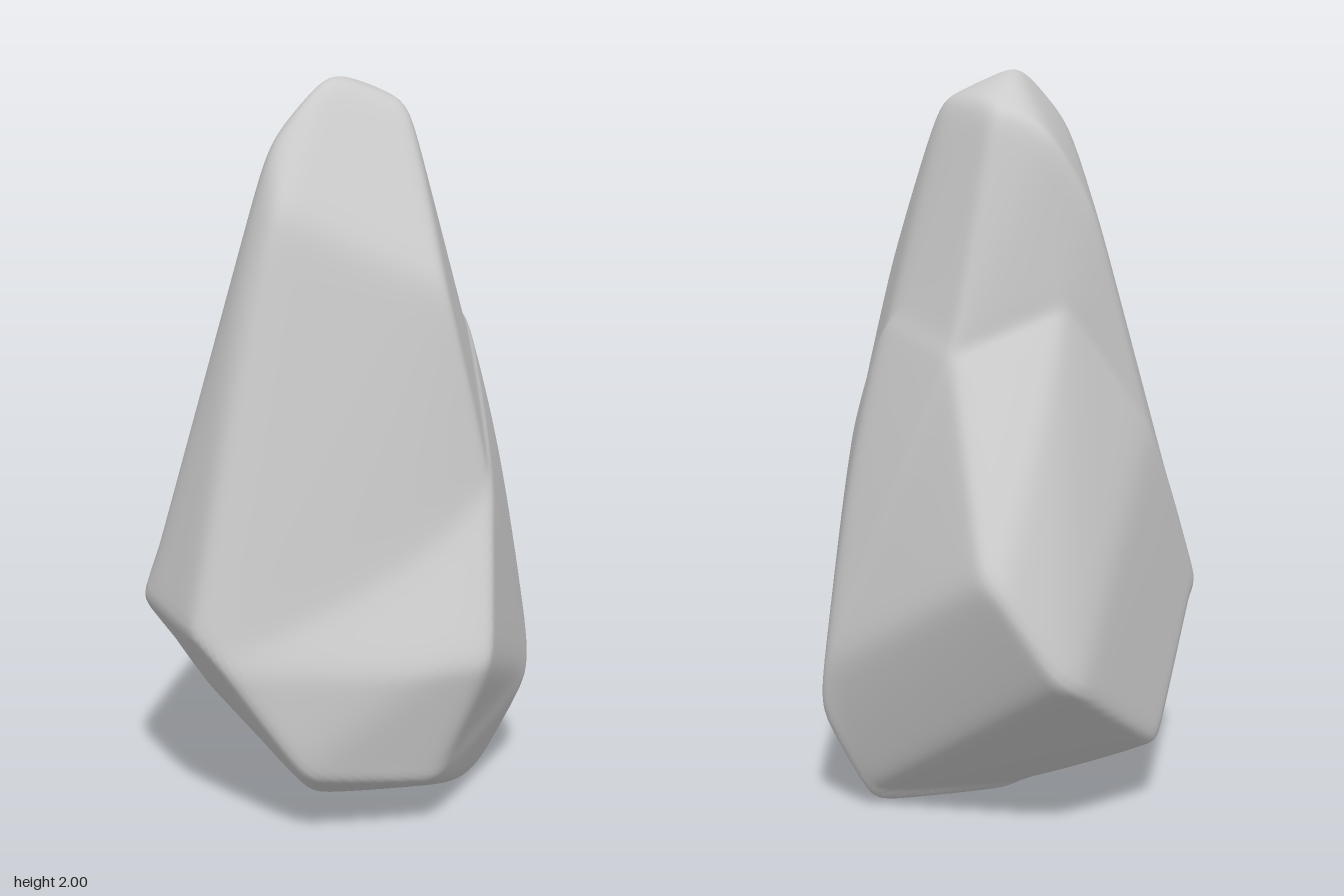
import * as THREE from 'three';
import { ConvexGeometry } from 'three/addons/geometries/ConvexGeometry.js';
import { mergeVertices } from 'three/addons/utils/BufferGeometryUtils.js';

const v = (x, y, z) => new THREE.Vector3(x, y, z);
const CENTRE = v(0, 0.9, 0);
const ROUNDING = 50; // higher keeps the ridges sharper
const VALLEY = 0.02; // softness of the creases between the two blocks

// Corners of the foot and flanks, shared by both blocks
const FOOT = [
  v(-0.11, 0.01, 0.07), v(0.04, 0.005, -0.03), v(0.35, -0.01, 0.16), v(0.41, 0.02, 0.14),
  v(0.05, 0.155, 0.45), v(-0.32, 0.205, 0.33), v(0.54, 0.43, 0.16), v(0.525, 0.29, 0.2),
  v(-0.545, 0.6, 0.16), v(-0.49, 0.52, 0.23), v(-0.51, 0.6, -0.17), v(-0.46, 0.55, -0.26),
];
// Corners of the waist, shared by both blocks, with the rear notch last
const WAIST = [
  v(0.23, 0.95, 0.42), v(0.395, 1.08, 0.17), v(0.335, 1.35, 0.13), v(-0.2, 1.04, -0.325),
  v(0.35, 1.3, -0.15), v(0.08, 1.42, -0.29),
];
// Front and rear bulges of the broad base
const BULGES = [
  v(0.13, 0.5, 0.57), v(0, 0.5, 0.525), v(-0.18, 0.17, -0.4), v(0.27, 0.46, -0.57), v(0.34, 0.5, -0.565),
  v(0.5, 0.78, -0.43), v(0.48, 0.74, -0.47),
];
// Corners of the peak
const PEAK = [
  v(0.12, 1.48, 0.365), v(-0.28, 1.69, 0.15), v(-0.34, 1.53, 0.08), v(-0.02, 1.64, -0.31), v(0.1, 1.87, -0.265),
  v(0.215, 1.93, -0.15), v(0.17, 1.94, 0.1), v(-0.06, 2.02, 0.03), v(0.03, 2.02, -0.04), v(-0.22, 1.85, 0.01),
];

// Facet planes of a convex block, scaled so that plane.dot(point) = 1 on the facet
function facets(points) {
  const p = new ConvexGeometry(points.map((q) => q.clone().sub(CENTRE))).attributes.position;
  const planes = [];
  for (let i = 0; i < p.count; i += 3) {
    const [a, b, c] = [0, 1, 2].map((k) => new THREE.Vector3().fromBufferAttribute(p, i + k));
    const n = b.sub(a).cross(c.sub(a)).normalize();
    planes.push(n.divideScalar(n.dot(a)));
  }
  return planes;
}

// Distance from the centre to a block with softened edges
function reach(planes, dir) {
  let sum = 0;
  for (const n of planes) sum += Math.max(0, n.dot(dir)) ** ROUNDING;
  return sum ** (-1 / ROUNDING);
}

export function createModel() {
  const blocks = [facets([...FOOT, ...WAIST, ...BULGES]), facets([...FOOT, ...WAIST, ...PEAK])];

  // A fine ball pushed out to the surface of the two merged blocks
  let geo = new THREE.IcosahedronGeometry(1, 48);
  geo.deleteAttribute('normal');
  geo.deleteAttribute('uv');
  geo = mergeVertices(geo, 1e-5);
  const pos = geo.attributes.position;
  const d = new THREE.Vector3();
  for (let i = 0; i < pos.count; i++) {
    d.fromBufferAttribute(pos, i);
    d.set(d.x * 0.55, d.y, d.z * 0.55).normalize();
    const [a, b] = blocks.map((planes) => reach(planes, d));
    // soft maximum, so the notch gets a rounded valley
    d.multiplyScalar((a + b + Math.hypot(a - b, VALLEY)) / 2).add(CENTRE);
    pos.setXYZ(i, d.x, d.y, d.z);
  }

  // Set it on the ground
  geo.computeBoundingBox();
  geo.translate(0, -geo.boundingBox.min.y, 0);
  geo.computeVertexNormals();

  const rock = new THREE.Mesh(geo, new THREE.MeshStandardMaterial({ color: 0xcccccc }));
  rock.name = 'rock';
  const group = new THREE.Group();
  group.name = 'standingRock';
  group.add(rock);
  return group;
}
